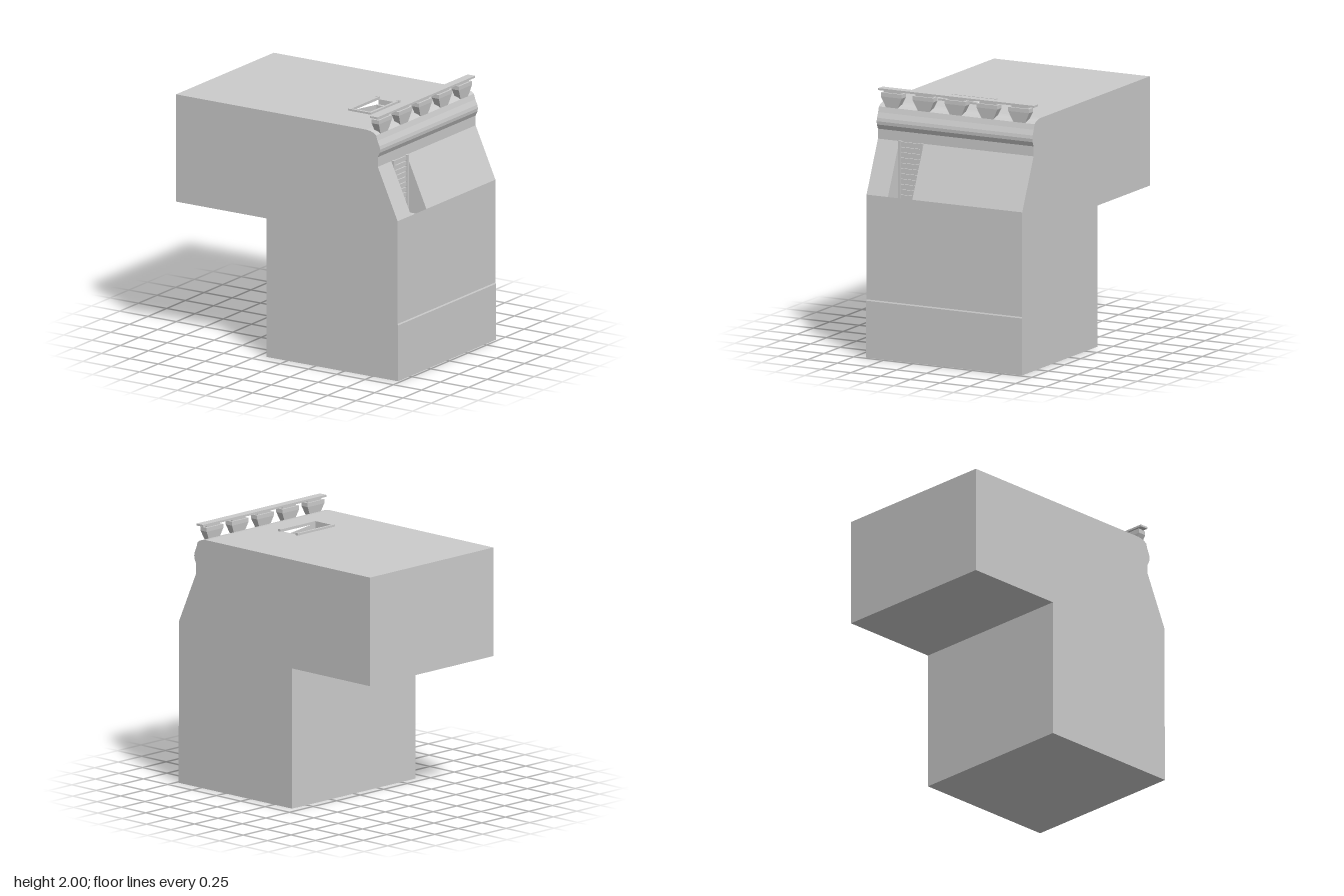
import * as THREE from 'three';

const HALF = 0.655; // half depth of the body
const solid = new THREE.MeshStandardMaterial({ color: 0xcccccc });
const open = new THREE.MeshStandardMaterial({ color: 0xcccccc, side: THREE.DoubleSide });

// Sweeps an x/y profile along z; cuts[i] = [t0, t1, z0, z1] leaves an opening in edge i
function sweep(points, zA, zB, closed = false, cuts = {}) {
  const pos = [];
  const count = closed ? points.length : points.length - 1;
  for (let i = 0; i < count; i++) {
    const a = points[i], b = points[(i + 1) % points.length], cut = cuts[i];
    const ts = cut ? [0, cut[0], cut[1], 1] : [0, 1];
    const zs = cut ? [zA, cut[2], cut[3], zB] : [zA, zB];
    const at = (t, z) => [a[0] + (b[0] - a[0]) * t, a[1] + (b[1] - a[1]) * t, z];
    for (let j = 0; j < ts.length - 1; j++) {
      for (let k = 0; k < zs.length - 1; k++) {
        if ((cut && j === 1 && k === 1) || ts[j] === ts[j + 1]) continue;
        const p = at(ts[j], zs[k]), q = at(ts[j], zs[k + 1]);
        const r = at(ts[j + 1], zs[k + 1]), s = at(ts[j + 1], zs[k]);
        pos.push(...p, ...q, ...r, ...p, ...r, ...s);
      }
    }
  }
  const geo = new THREE.BufferGeometry();
  geo.setAttribute('position', new THREE.Float32BufferAttribute(pos, 3));
  geo.computeVertexNormals();
  return geo;
}

const face = (points) =>
  new THREE.ShapeGeometry(new THREE.Shape(points.map(([x, y]) => new THREE.Vector2(x, y))));

function add(parent, name, geo, material = solid) {
  const mesh = new THREE.Mesh(geo, material);
  mesh.name = name;
  parent.add(mesh);
  return mesh;
}

function box(parent, name, x0, x1, y0, y1, z0, z1) {
  const mesh = add(parent, name, new THREE.BoxGeometry(x1 - x0, y1 - y0, z1 - z0));
  mesh.position.set((x0 + x1) / 2, (y0 + y1) / 2, (z0 + z1) / 2);
  return mesh;
}

// Lining of an opening: swept floor and ends plus two flat side walls
function recess(name, points, z0, z1) {
  const group = new THREE.Group();
  group.name = name;
  add(group, name + 'Lining', sweep(points, z0, z1), open);
  for (const z of [z0, z1]) add(group, name + 'Wall', face(points), open).position.z = z;
  return group;
}

// Corbel tapering downwards from a square shoulder
function corbelGeometry() {
  const rows = [[1.86, 0.022, 0.05], [1.94, 0.032, 0.088], [1.97, 0.032, 0.088]];
  const pos = [];
  const corners = ([y, x, z]) => [[x, y, z], [x, y, -z], [-x, y, -z], [-x, y, z]];
  const quad = (a, b, c, d) => pos.push(...a, ...b, ...c, ...a, ...c, ...d);
  for (let i = 0; i < rows.length - 1; i++) {
    const lo = corners(rows[i]), hi = corners(rows[i + 1]);
    for (let k = 0; k < 4; k++) {
      const n = (k + 1) % 4;
      quad(lo[k], lo[n], hi[n], hi[k]);
    }
  }
  quad(...corners(rows[2]));
  quad(...corners(rows[0]).reverse());
  const geo = new THREE.BufferGeometry();
  geo.setAttribute('position', new THREE.Float32BufferAttribute(pos, 3));
  geo.computeVertexNormals();
  return geo;
}

export function createModel() {
  const model = new THREE.Group();
  model.name = 'building';

  // Body: L-shaped profile with rounded brow, moulding and sloping face
  const profile = [
    [-0.985, 1.065], [-0.985, 1.89], [0.7, 1.89], [0.735, 1.885], [0.765, 1.875],
    [0.785, 1.86], [0.797, 1.82], [0.815, 1.78], [0.82, 1.755], [0.817, 1.73],
    [0.8, 1.695], [0.8, 1.62], [0.975, 1.23], [0.975, 0.44], [0.98, 0.43],
    [0.98, 0], [-0.185, 0], [-0.185, 1.065],
  ];
  const onRoof = (x) => (x + 0.985) / 1.685;
  const cuts = {
    1: [onRoof(0.33), onRoof(0.49), -0.065, 0.29],
    11: [0, 1, 0.27, 0.475],
    12: [0, 0.05 / 0.79, 0.27, 0.475],
  };
  add(model, 'bodyShell', sweep(profile, -HALF, HALF, true, cuts));
  add(model, 'frontWall', face(profile)).position.z = HALF;
  const back = add(model, 'backWall', face(profile.map(([x, y]) => [-x, y])));
  back.rotation.y = Math.PI;
  back.position.z = -HALF;

  // Ladder niche in the sloping face
  const niche = recess('niche',
    [[0.8, 1.62], [0.8, 1.18], [0.975, 1.18], [0.975, 1.23]], 0.27, 0.475);
  model.add(niche);
  for (const z of [0.27, 0.455]) box(niche, 'ladderRail', 0.8, 0.822, 1.18, 1.625, z, z + 0.02);
  for (let i = 0; i < 11; i++) {
    const y = 1.18 + i * 0.04;
    box(niche, 'ladderRung', 0.8, 0.812, y + 0.006, y + 0.038, 0.29, 0.455);
  }

  // Roof stairwell: profile runs along z, descending towards the front
  const steps = 11, run = 0.265 / steps, rise = 0.04;
  const stair = [[-0.065, 1.89]];
  for (let i = 0; i < steps; i++) {
    const z = -0.065 + i * run, y = 1.89 - (i + 1) * rise;
    stair.push([z, y], [z + run, y]);
  }
  stair.push([0.29, 1.45], [0.29, 1.89]);
  const well = recess('stairwell', stair.slice(1), -0.49, -0.33);
  well.rotation.y = -Math.PI / 2;
  model.add(well);
  // Top riser and raised kerb around the stairwell
  box(model, 'topRiser', 0.33, 0.49, 1.85, 1.889, -0.07, -0.065);
  for (const x of [0.31, 0.49]) {
    box(model, 'stairKerb', x, x + 0.02, 1.885, 1.905, -0.065, 0.31);
    box(model, 'kerbPost', x - 0.003, x + 0.023, 1.885, 1.907, -0.082, -0.063);
  }
  box(model, 'stairKerb', 0.33, 0.49, 1.885, 1.905, 0.29, 0.31);

  // Parapet: rail carried on five corbels
  const corbel = corbelGeometry();
  for (let i = -2; i <= 2; i++) {
    const z = i * 0.268 + 0.01;
    add(model, 'corbel', corbel).position.set(0.763, 0, z);
    box(model, 'corbelNeck', 0.745, 0.78, 1.965, 1.988, z - 0.07, z + 0.07);
  }
  box(model, 'parapetRail', 0.73, 0.796, 1.985, 2, -HALF, HALF);

  return model;
}
